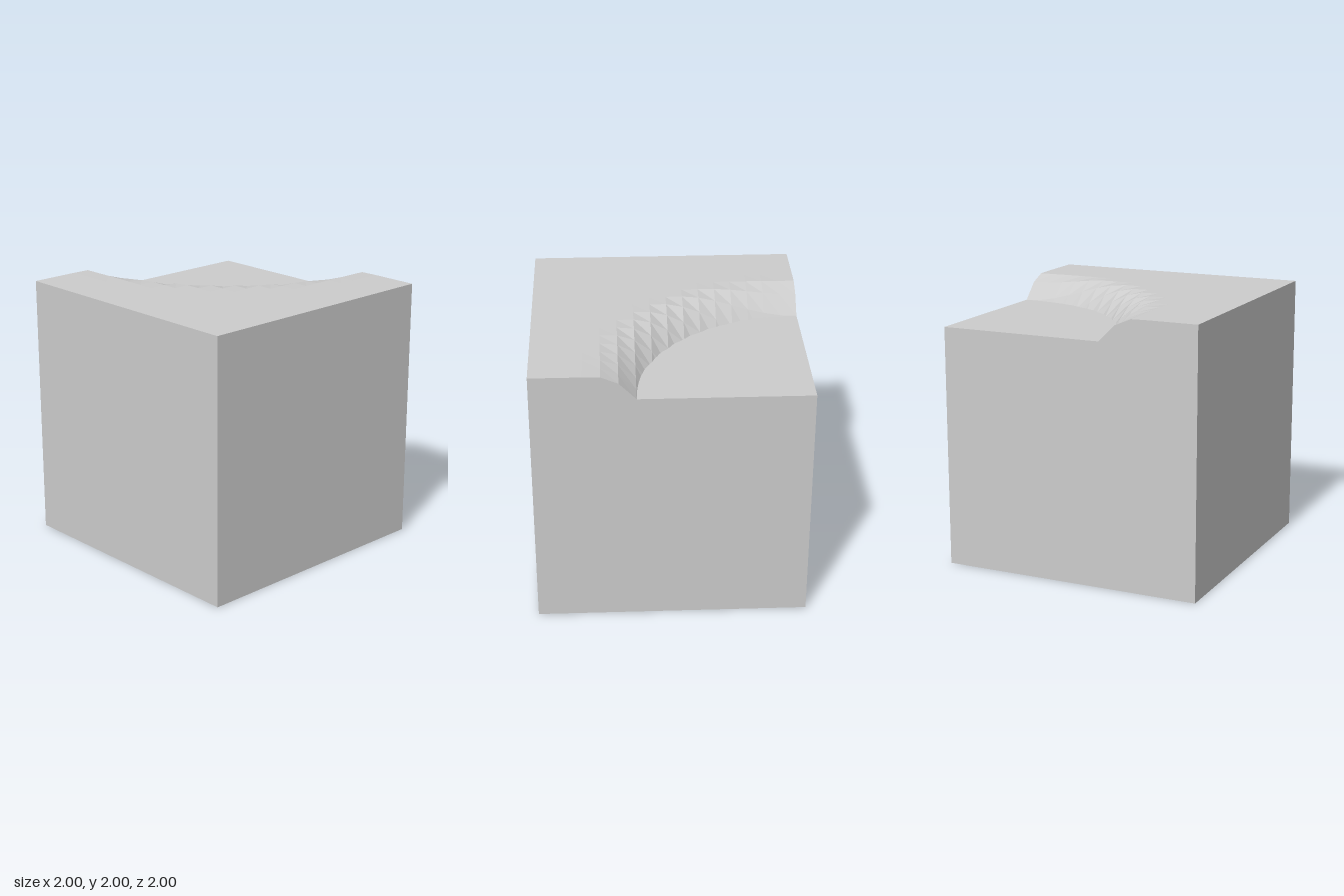
import * as THREE from 'three';

const POND_Y = 1.82, POND_R = 1.25, STEP = 0.125;

// Ground height by distance from the pond's corner at (1, -1)
const groundAt = r => 2 - 2.3 * Math.max(0, 1.53 - r) ** 2;

export function createModel() {
  const group = new THREE.Group();
  const material = new THREE.MeshStandardMaterial({ color: 0xcccccc, flatShading: true });
  const add = (name, geometry, x = 0, y = 0, z = 0) => {
    const mesh = new THREE.Mesh(geometry, material);
    mesh.name = name;
    mesh.position.set(x, y, z);
    group.add(mesh);
  };

  // Plain faces of the block
  add('frontWall', new THREE.PlaneGeometry(2, 2), 0, 1, 1);
  add('leftEndWall', new THREE.PlaneGeometry(2, 2).rotateY(-Math.PI / 2), -1, 1, 0);
  add('base', new THREE.PlaneGeometry(2, 2).rotateX(Math.PI / 2));

  // Cut walls whose upper edge follows the bank down to the pond
  const cutWall = side => {
    const points = [[-1, 0], [1, 0], [1, POND_Y], [-0.25, POND_Y]];
    for (const u of [-0.375, -0.5, -0.625]) points.push([u, groundAt(1 - u)]);
    points.push([-1, 2]);
    return new THREE.ShapeGeometry(
      new THREE.Shape(points.map(([u, y]) => new THREE.Vector2(u * side, y))));
  };
  add('backWall', cutWall(-1).rotateY(Math.PI), 0, 0, -1);
  add('pondSideWall', cutWall(1).rotateY(Math.PI / 2), 1, 0, 0);

  // Ground: square grid lowered around the pond, omitting cells wholly inside it
  const ground = new THREE.PlaneGeometry(2, 2, 2 / STEP, 2 / STEP).rotateX(-Math.PI / 2);
  const pos = ground.attributes.position;
  const radius = i => Math.hypot(1 - pos.getX(i), pos.getZ(i) + 1);
  for (let i = 0; i < pos.count; i++) pos.setY(i, groundAt(radius(i)));
  const old = ground.index.array, kept = [];
  for (let i = 0; i < old.length; i += 3) {
    const tri = [old[i], old[i + 1], old[i + 2]];
    if (tri.some(v => radius(v) > POND_R + 0.001)) kept.push(...tri);
  }
  ground.setIndex(kept);
  ground.computeVertexNormals();
  add('ground', ground);

  // Flat quarter-round pond, tucked slightly under the bank
  const pond = new THREE.CircleGeometry(POND_R + 0.01, 32, Math.PI, Math.PI / 2);
  add('pond', pond.rotateX(-Math.PI / 2), 1, POND_Y, -1);

  return group;
}
